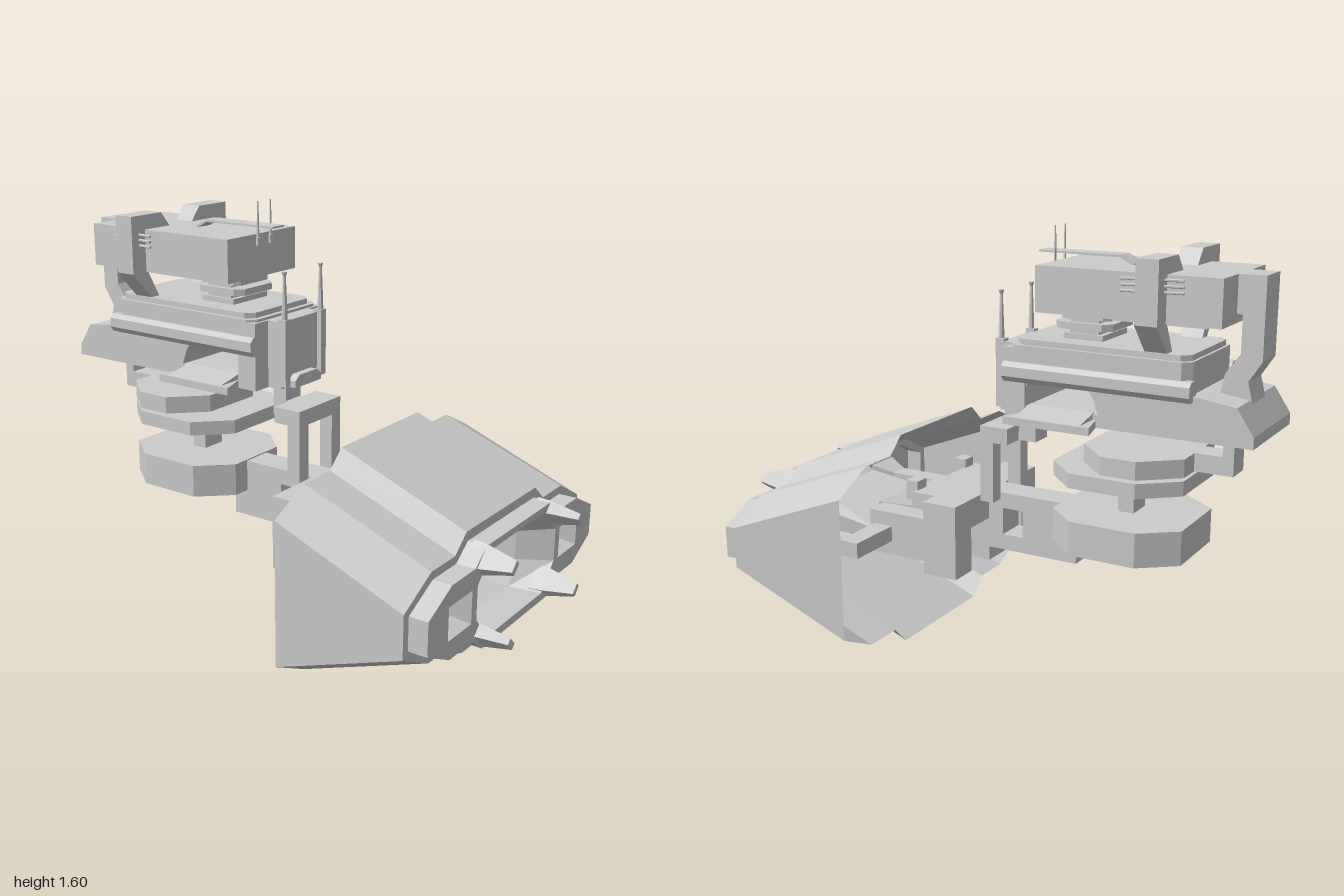
import * as THREE from 'three';

const mat = new THREE.MeshStandardMaterial({ color: 0xcccccc, flatShading: true });
const open = new THREE.MeshStandardMaterial({ color: 0xcccccc, flatShading: true, side: THREE.DoubleSide });

export function createModel() {
  const model = new THREE.Group();
  const add = (name, geo, m = mat) => {
    const mesh = new THREE.Mesh(geo, m);
    mesh.name = name;
    model.add(mesh);
    return mesh;
  };
  const box = (name, x0, x1, y0, y1, z0, z1) =>
    add(name, new THREE.BoxGeometry(x1 - x0, y1 - y0, z1 - z0)
      .translate((x0 + x1) / 2, (y0 + y1) / 2, (z0 + z1) / 2));
  // Box centred on x = 0
  const mid = (name, w, ...r) => box(name, -w, w, ...r);
  // Box on both sides
  const pair = (name, x0, x1, ...r) => {
    box(name + 'Left', x0, x1, ...r);
    box(name + 'Right', -x1, -x0, ...r);
  };
  const shapeOf = (pts, holes = []) => {
    const s = new THREE.Shape(pts.map(p => new THREE.Vector2(...p)));
    holes.forEach(h => s.holes.push(new THREE.Path(h.map(p => new THREE.Vector2(...p)))));
    return s;
  };
  const extrude = (shape, depth) => new THREE.ExtrudeGeometry(shape, { depth, bevelEnabled: false });
  // Front outline (x, y) pushed along z
  const frontEx = (name, pts, z0, z1, holes) =>
    add(name, extrude(shapeOf(pts, holes), z1 - z0).translate(0, 0, z0));
  // Plan outline (x, z) pushed along y
  const planEx = (name, pts, y0, y1, holes = []) => {
    const f = l => l.map(([x, z]) => [x, -z]);
    return add(name, extrude(shapeOf(f(pts), holes.map(f)), y1 - y0).rotateX(-Math.PI / 2).translate(0, y0, 0));
  };
  // Side outline (z, y) pushed along x
  const sideEx = (name, pts, x0, x1, holes = []) => {
    const f = l => l.map(([z, y]) => [-z, y]);
    return add(name, extrude(shapeOf(f(pts), holes.map(f)), x1 - x0).rotateY(Math.PI / 2).translate(x0, 0, 0));
  };
  const mirror = half => [...half, ...half.map(([x, y]) => [-x, y]).reverse()];
  const flip = pts => pts.map(([x, y]) => [-x, y]);
  // Skin between outlines placed at given depths
  const loft = (name, sections) => {
    const v = [];
    for (let i = 0; i + 1 < sections.length; i++) {
      const [a, za] = sections[i], [b, zb] = sections[i + 1];
      a.forEach((p, j) => {
        const k = (j + 1) % a.length;
        v.push(...p, za, ...b[j], zb, ...b[k], zb, ...p, za, ...b[k], zb, ...a[k], za);
      });
    }
    const g = new THREE.BufferGeometry();
    g.setAttribute('position', new THREE.Float32BufferAttribute(v, 3));
    g.computeVertexNormals();
    return add(name, g, open);
  };
  const rect = (x, y, w, h) => [[x + w, y + h], [x + w, y - h], [x - w, y - h], [x - w, y + h]];

  // Scoop hull: shell open at the rear, stepped lip at the front
  const xs = [0.25, 0.32, 0.47, 0.63, 0.63, 0.47, 0.32, 0.25];
  const ring = ys => mirror(ys.map((y, i) => [xs[i], y]));
  const rear = ring([0.825, 0.76, 0.76, 0.68, 0.15, 0.07, 0.07, 0]);
  const front = ring([0.635, 0.575, 0.575, 0.49, 0.335, 0.255, 0.255, 0.195]);
  const lip = mirror([[0.24, 0.6], [0.31, 0.545], [0.46, 0.545], [0.6, 0.475],
    [0.6, 0.355], [0.46, 0.285], [0.31, 0.285], [0.24, 0.23]]);
  loft('hullShell', [[rear, 0.325], [front, 0.82], [lip, 0.82], [lip, 0.89]]);

  // Front plate with the main mouth and two side intakes
  const mouth = mirror([[0.19, 0.575], [0.29, 0.48], [0.29, 0.355], [0.2, 0.26]]);
  const throat = mirror([[0.17, 0.513], [0.22, 0.465], [0.22, 0.355], [0.18, 0.262]]);
  const intake = s => rect(s * 0.4, 0.415, 0.075, 0.06);
  const intakeEnd = s => rect(s * 0.4, 0.415, 0.04, 0.03);
  add('frontPlate', new THREE.ShapeGeometry(shapeOf(lip, [mouth, intake(1), intake(-1)])).translate(0, 0, 0.89), open);
  const duct = mirror([[0.13, 0.5], [0.17, 0.4], [0.17, 0.38], [0.14, 0.3]]);
  const core = mirror([[0.035, 0.47], [0.04, 0.46], [0.04, 0.39], [0.035, 0.38]]);
  loft('mouthFunnel', [[mouth, 0.89], [throat, 0.77], [duct, 0.52], [core, 0.4]]);
  for (const s of [1, -1]) {
    loft('sideIntake', [[intake(s), 0.89], [intakeEnd(s), 0.8]]);
    // Tapered prongs at the mouth corners
    for (const [y, t] of [[0.555, 1], [0.285, -1]]) {
      const prong = loft('prong', [[rect(0, 0, 0.05, 0.027), -0.05], [rect(0, 0, 0.045, 0.025), 0],
        [rect(0, 0, 0.022, 0.012), 0.11], [rect(0, 0, 0.001, 0.001), 0.11]]);
      prong.position.set(s * 0.25, y, 0.89);
      prong.rotation.z = -s * t * Math.PI / 4 + Math.PI / 2;
      prong.rotation.z += Math.PI / 2;
    }
  }

  // Ducts inside and behind the hull
  pair('intakeDuct', 0.36, 0.44, 0.385, 0.445, 0.45, 0.8);
  pair('crossDuct', 0.2, 0.44, 0.385, 0.445, 0.4, 0.48);
  pair('sideDuct', 0.13, 0.22, 0.33, 0.5, 0.18, 0.5);
  mid('coreDuct', 0.06, 0.36, 0.49, 0.18, 0.41);
  mid('topDuct', 0.22, 0.545, 0.6, 0.18, 0.3);
  pair('topBrace', 0.14, 0.2, 0.56, 0.635, 0.29, 0.34);
  mid('yokeBar', 0.3, 0.49, 0.6, 0.06, 0.2);
  pair('yokeLeg', 0.19, 0.3, 0.32, 0.5, 0.06, 0.2);
  mid('yokeCore', 0.06, 0.32, 0.5, 0.06, 0.2);

  // Spine with a window, leading to the lower pod
  sideEx('spine', [[0.07, 0.375], [-0.31, 0.375], [-0.31, 0.5], [-0.45, 0.5], [-0.45, 0.6], [0.07, 0.6]], -0.06, 0.06,
    [[[0, 0.435], [-0.085, 0.435], [-0.085, 0.54], [0, 0.54]]]);

  // Portal carrying the tower
  pair('portalLeg', 0.075, 0.13, 0.58, 0.87, 0, 0.055);
  mid('portalTop', 0.13, 0.81, 0.87, -0.06, 0.055);
  mid('portalBeam', 0.045, 0.81, 0.87, -0.13, 0);
  mid('portalPost', 0.045, 0.81, 0.95, -0.13, -0.07);

  // Stacked pods under the tower
  const pod = (w, z0) => {
    const h = [[0.13, z0], [w, z0 - 0.12], [w, -0.62], [0.14, -0.75]];
    return mirror(h);
  };
  const slot = s => [[s * 0.09, -0.45], [s * 0.13, -0.45], [s * 0.13, -0.65], [s * 0.09, -0.65]];
  planEx('lowerPod', pod(0.24, -0.25), 0.48, 0.56, [slot(1), slot(-1)]);
  planEx('lowerPodDeck', pod(0.24, -0.25), 0.56, 0.605);
  mid('podStrut', 0.05, 0.6, 0.74, -0.53, -0.47);
  planEx('middlePod', pod(0.25, -0.25), 0.73, 0.783);
  mid('podSpacer', 0.12, 0.78, 0.8, -0.65, -0.42);
  planEx('upperPod', pod(0.25, -0.37), 0.795, 0.86);
  mid('rearLink', 0.05, 0.795, 0.86, -0.89, -0.7);
  mid('rearLinkPost', 0.05, 0.8, 0.95, -0.89, -0.85);

  // Tower base: front block, gap, rear block with sloping tail
  const base = [[-0.1, 0.94], [-0.46, 0.94], [-1, 0.94], [-1, 0.98], [-0.94, 1.07], [-0.79, 1.09], [-0.1, 1.09]];
  sideEx('towerBase', base, -0.19, 0.19,
    [[[-0.17, 0.985], [-0.45, 0.985], [-0.43, 1.04], [-0.41, 1.07], [-0.18, 1.07], [-0.17, 1.05]]]);
  mid('towerFront', 0.2, 0.94, 1.19, -0.17, -0.09);
  mid('frontPanel', 0.125, 0.94, 1.19, -0.1, -0.03);
  frontEx('bumper', mirror([[0.055, 0.985], [0.08, 0.965], [0.08, 0.94]]), -0.06, 0);
  for (const s of [1, -1]) {
    const side = pts => s > 0 ? pts : flip(pts);
    // Tapered wing
    planEx('wing', side([[0.18, -0.18], [0.3, -0.14], [0.3, -0.47], [0.18, -0.44]]), 0.94, 0.967);
    frontEx('wingRoot', side([[0.18, 0.96], [0.3, 0.965], [0.18, 0.99]]), -0.43, -0.18);
    // Rail with eight sides
    frontEx('sideRail', side([[0.18, 1.07], [0.21, 1.07], [0.225, 1.09], [0.225, 1.125],
      [0.21, 1.14], [0.18, 1.14], [0.165, 1.125], [0.165, 1.09]]), -0.79, -0.09);
    // Tall front mast
    box('mastFoot', s * 0.11 - 0.015, s * 0.11 + 0.015, 0.95, 1.2, -0.045, -0.01);
    add('mast', new THREE.CylinderGeometry(0.005, 0.012, 0.18, 8).translate(s * 0.11, 1.28, -0.025));
    add('mastCap', new THREE.CylinderGeometry(0.011, 0.006, 0.015, 8).translate(s * 0.11, 1.365, -0.025));
    // Cross arm sweeping from the deck up past the head
    frontEx('headArm', side([[0.06, 1.475], [0.11, 1.535], [0.27, 1.535], [0.27, 1.32],
      [0.17, 1.21], [0.13, 1.21], [0.19, 1.32], [0.19, 1.475]]), -0.69, -0.61);
    // Side rods
    for (const y of [1.425, 1.445, 1.465])
      add('sideRod', new THREE.CylinderGeometry(0.005, 0.005, 0.21, 6).rotateX(Math.PI / 2)
        .rotateY(s * 0.15).translate(s * 0.225, y, -0.65));
    // Head aerials
    add('aerial', new THREE.CylinderGeometry(0.003, 0.006, 0.16, 6).translate(s * 0.037, 1.52, -0.2));
    add('aerialFoot', new THREE.CylinderGeometry(0.009, 0.009, 0.03, 6).translate(s * 0.037, 1.455, -0.2));
  }

  // Deck and stepped neck
  const deck = (w, z0, z1, c) => mirror([[w - c, z0], [w, z0 - c], [w, z1 + c], [w - c, z1]]);
  planEx('deck', deck(0.2, -0.1, -0.78, 0.03), 1.08, 1.2);
  planEx('deckTop', deck(0.185, -0.12, -0.77, 0.03), 1.2, 1.22);
  mid('hatch', 0.1, 1.2, 1.24, -0.42, -0.27);
  planEx('neckRing', deck(0.11, -0.23, -0.45, 0.03), 1.255, 1.28);
  mid('neckCore', 0.09, 1.22, 1.3, -0.4, -0.29);
  planEx('neckTop', deck(0.1, -0.25, -0.44, 0.02), 1.29, 1.32);

  // Head with rear support arm
  mid('head', 0.2, 1.32, 1.48, -0.88, -0.21);
  mid('headUnderside', 0.14, 1.305, 1.32, -0.81, -0.47);
  sideEx('rearArm', [[-0.86, 1.48], [-0.975, 1.48], [-0.975, 1.2], [-0.93, 1.13], [-0.95, 1.05],
    [-0.83, 1.05], [-0.85, 1.15], [-0.9, 1.22], [-0.9, 1.35], [-0.86, 1.35]], -0.065, 0.065);
  sideEx('aerialBoom', [[-0.135, 1.505], [-0.135, 1.512], [-0.45, 1.512], [-0.5, 1.485], [-0.5, 1.475],
    [-0.45, 1.503]], -0.035, 0.035);
  return model;
}
